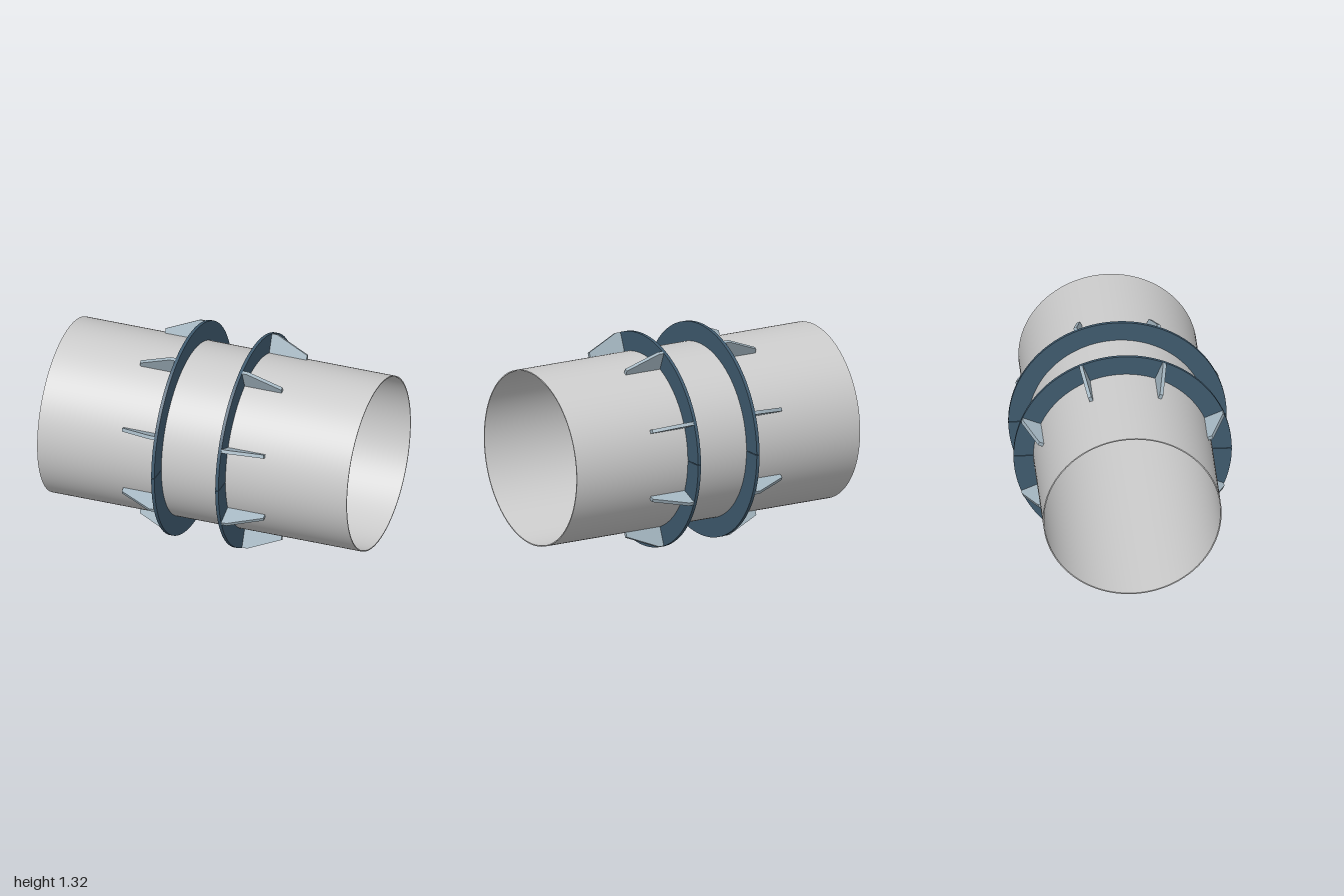
import * as THREE from 'three';
import { toCreasedNormals } from 'three/addons/utils/BufferGeometryUtils.js';

const PIPE_R = 0.54, BORE_R = 0.533, FLANGE_R = 0.66;
const FLANGE_X = 0.197, FLANGE_T = 0.02, RIB_T = 0.022;

const paint = (color) => new THREE.MeshStandardMaterial({ color });

// Extrudes a shape centred on its depth
function slab(shape, depth) {
  const geo = new THREE.ExtrudeGeometry(shape, { depth, bevelEnabled: false, curveSegments: 64 });
  geo.translate(0, 0, -depth / 2);
  return toCreasedNormals(geo, Math.PI / 6);
}

function addMesh(parent, name, geo, material) {
  const mesh = new THREE.Mesh(geo, material);
  mesh.name = name;
  parent.add(mesh);
  return mesh;
}

export function createModel() {
  const model = new THREE.Group();
  model.name = 'flangedPipeSleeve';
  const grey = paint(0xcccccc), blue = paint(0x3f5a6e), paleBlue = paint(0xa3b5c0);

  // Assembly lies along x, resting on the flange rims
  const assembly = new THREE.Group();
  assembly.name = 'assembly';
  assembly.position.y = FLANGE_R;
  model.add(assembly);

  // Thin-walled open pipe
  const tube = new THREE.Shape().absarc(0, 0, PIPE_R, 0, Math.PI * 2, false);
  tube.holes.push(new THREE.Path().absarc(0, 0, BORE_R, 0, Math.PI * 2, true));
  addMesh(assembly, 'pipe', slab(tube, 2).rotateY(Math.PI / 2), grey);

  // Half flange, with a hairline split at the horizontal joint
  const gap = 0.003;
  const half = new THREE.Shape();
  half.absarc(0, 0, FLANGE_R, gap, Math.PI - gap, false);
  half.absarc(0, 0, PIPE_R, Math.PI - gap, gap, true);
  half.closePath();
  const halfGeo = slab(half, FLANGE_T).rotateY(Math.PI / 2);

  // Tapered gusset rib, drawn as distance along the pipe by radius
  const start = FLANGE_X + FLANGE_T;
  const rib = new THREE.Shape([
    [start, PIPE_R - 0.001], [0.457, PIPE_R - 0.001], [0.457, 0.569],
    [0.25, FLANGE_R - 0.001], [start, FLANGE_R - 0.001],
  ].map(([x, r]) => new THREE.Vector2(x, r)));
  const ribGeo = slab(rib, RIB_T);

  // Each side carries a split flange braced by eight ribs
  for (const side of ['left', 'right']) {
    const collar = new THREE.Group();
    collar.name = side + 'Collar';
    collar.rotation.y = side === 'left' ? 0 : Math.PI;
    assembly.add(collar);

    for (const [name, turn] of [['upperFlange', 0], ['lowerFlange', Math.PI]]) {
      const flange = addMesh(collar, name, halfGeo, blue);
      flange.position.x = FLANGE_X + FLANGE_T / 2;
      flange.rotation.x = turn;
    }
    for (let i = 0; i < 8; i++) {
      addMesh(collar, 'gussetRib' + (i + 1), ribGeo, paleBlue).rotation.x = (i + 0.5) * Math.PI / 4;
    }
  }
  return model;
}
